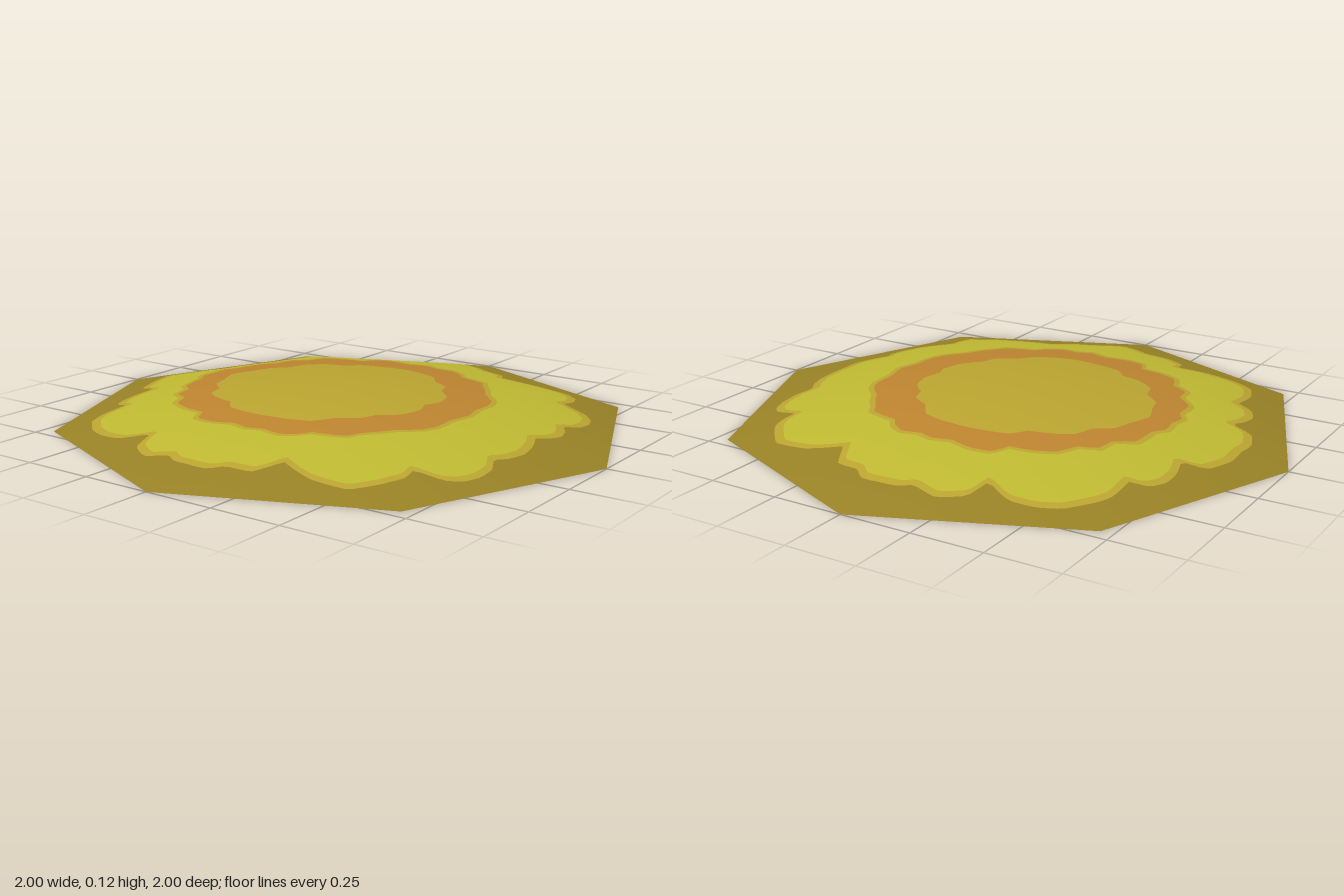
import * as THREE from 'three';

const SEGMENTS = 240;
const RIM = 0.63;                     // inner octagon crease, as a fraction of the outer one
const PEAK = 0.125, SHOULDER = 0.083; // heights of the apex and of the crease

// Half outlines (x, z pairs) running from +x to -x, mirrored across z
const CENTRE = [.33,0, .35,.06, .33,.14, .27,.2, .25,.26, .18,.3, .13,.37, .03,.4, -.1,.4, -.2,.38,
  -.24,.33, -.32,.31, -.38,.27, -.4,.2, -.46,.15, -.48,.08, -.51,0];
const RING = [.5,0, .48,.08, .48,.17, .46,.22, .4,.28, .33,.38, .31,.42, .2,.45, .17,.49, .12,.52,
  .05,.51, 0,.53, -.07,.51, -.15,.53, -.22,.52, -.25,.46, -.33,.45, -.4,.42, -.43,.35, -.49,.32,
  -.5,.25, -.56,.2, -.57,.1, -.6,.06, -.59,0];
const SCALLOP = [.75,0, .77,.05, .78,.12, .76,.19, .73,.23, .76,.29, .76,.36, .74,.42, .7,.46, .6,.48,
  .61,.54, .59,.6, .51,.69, .38,.7, .25,.66, .2,.755, .11,.77, .07,.81, .01,.82, -.06,.81, -.11,.78,
  -.2,.8, -.28,.75, -.3,.66, -.4,.71, -.49,.7, -.56,.67, -.62,.61, -.65,.54, -.65,.42, -.71,.4,
  -.74,.34, -.74,.27, -.72,.2, -.8,.18, -.84,.08, -.84,0];

// Radius of the unit octagon at an angle
function octagon(a) {
  const step = Math.PI / 4;
  return Math.cos(step / 2) / Math.cos((a % step) - step / 2);
}

// Turns a half outline into a radius-by-angle function, optionally offset
function outline(points, offset = 0) {
  const polar = [];
  for (let i = 0; i < points.length; i += 2) {
    polar.push([Math.atan2(points[i + 1], points[i]), Math.hypot(points[i], points[i + 1])]);
  }
  return (a) => {
    const m = a > Math.PI ? 2 * Math.PI - a : a;
    let k = 1;
    while (k < polar.length - 1 && polar[k][0] < m) k++;
    const [a0, r0] = polar[k - 1], [a1, r1] = polar[k];
    const f = THREE.MathUtils.clamp((m - a0) / (a1 - a0), 0, 1);
    return r0 + (r1 - r0) * f + offset;
  };
}

// Height and softened slope of the shallow dome at octagon fraction t
const height = (t) => t < RIM ? PEAK + (SHOULDER - PEAK) * t / RIM : SHOULDER * (1 - t) / (1 - RIM);
const slope = (t) => t < RIM ? 0.15 * t / RIM : 0.15 + 0.075 * (t - RIM) / (1 - RIM);

// Strip of the dome between two outlines, split where it crosses the crease
function band(inner, outer) {
  const position = [], normal = [], index = [];
  for (let j = 0; j <= SEGMENTS; j++) {
    const a = (j % SEGMENTS) / SEGMENTS * Math.PI * 2;
    const r0 = inner(a), r1 = outer(a), oct = octagon(a);
    const crease = THREE.MathUtils.clamp(RIM * oct, r0, r1);
    for (const r of [r0, crease, r1]) {
      const t = r / oct, s = slope(t);
      position.push(r * Math.cos(a), height(t), r * Math.sin(a));
      const n = new THREE.Vector3(s * Math.cos(a), 1, s * Math.sin(a)).normalize();
      normal.push(n.x, n.y, n.z);
    }
    if (j === SEGMENTS) break;
    for (let k = 0; k < 2; k++) {
      const p = j * 3 + k, q = p + 3;
      index.push(p, q, p + 1, q, q + 1, p + 1);
    }
  }
  const geometry = new THREE.BufferGeometry();
  geometry.setAttribute('position', new THREE.Float32BufferAttribute(position, 3));
  geometry.setAttribute('normal', new THREE.Float32BufferAttribute(normal, 3));
  geometry.setIndex(index);
  return geometry;
}

function paint(name, color) {
  const material = new THREE.MeshStandardMaterial({ color, side: THREE.DoubleSide });
  material.name = name;
  return material;
}

export function createModel() {
  const olive = paint('olive', 0x988226);
  const gold = paint('gold', 0xbaa430);
  const yellow = paint('yellow', 0xbfb932);
  const orange = paint('orange', 0xbd8430);

  const centreEdge = outline(CENTRE);
  const ringEdge = outline(RING);
  const ringTrimEdge = outline(RING, 0.02);
  const petalEdge = outline(SCALLOP, -0.03);
  const scallopEdge = outline(SCALLOP);

  // Concentric colour bands, from the apex out to the octagonal rim
  const bands = [
    ['centrePatch', () => 0, centreEdge, gold],
    ['orangeRing', centreEdge, ringEdge, orange],
    ['ringTrim', ringEdge, ringTrimEdge, gold],
    ['scallopedPatch', ringTrimEdge, petalEdge, yellow],
    ['scallopTrim', petalEdge, scallopEdge, gold],
    ['octagonalBorder', scallopEdge, octagon, olive],
  ];
  const model = new THREE.Group();
  model.name = 'octagonalMound';
  for (const [name, inner, outer, material] of bands) {
    const mesh = new THREE.Mesh(band(inner, outer), material);
    mesh.name = name;
    model.add(mesh);
  }
  return model;
}
